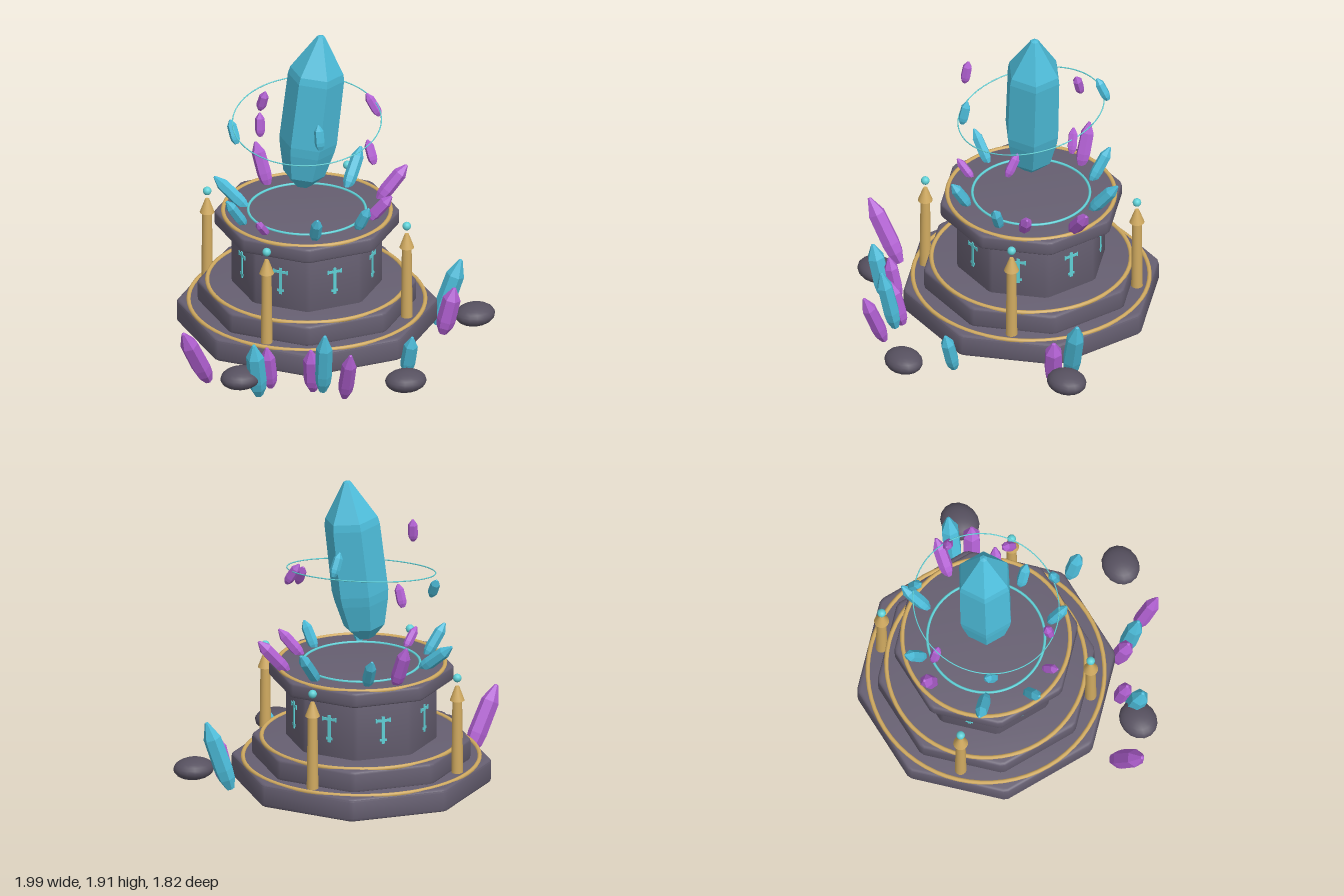
import * as THREE from 'three';
import { toCreasedNormals } from 'three/addons/utils/BufferGeometryUtils.js';

const V = (x, y, z) => new THREE.Vector3(x, y, z);

export function createModel() {
  const model = new THREE.Group();
  model.name = 'crystalShrine';

  const material = (name, color, flatShading = false) => {
    const m = new THREE.MeshStandardMaterial({ color, flatShading });
    m.name = name;
    return m;
  };
  const stone = material('stone', 0x665f71);
  const rockGrey = material('rock', 0x575160);
  const gold = material('gold', 0xd0aa60);
  const glow = material('glowInlay', 0x5fd0d6);
  const cyan = material('cyanCrystal', 0x4cbbd8, true);
  const purple = material('purpleCrystal', 0xb160d2, true);

  const add = (parent, name, geometry, mat, x = 0, y = 0, z = 0) => {
    const mesh = new THREE.Mesh(geometry, mat);
    mesh.name = name;
    mesh.position.set(x, y, z);
    parent.add(mesh);
    return mesh;
  };

  // Altar, centred on its own axis
  const altar = new THREE.Group();
  altar.name = 'altar';
  altar.position.set(-0.015, 0, -0.213);
  model.add(altar);

  // Octagonal slab with clipped corners and soft edges
  function slab(name, apothem, y0, y1, bevel) {
    const shape = new THREE.Shape();
    const a = apothem - bevel;
    const half = a * Math.tan(Math.PI / 8) - 0.012;
    for (let i = 0; i < 8; i++) {
      const t = (i * Math.PI) / 4, c = Math.cos(t), s = Math.sin(t);
      for (const h of [-half, half]) {
        const x = a * c - h * s, y = a * s + h * c;
        if (i === 0 && h < 0) shape.moveTo(x, y);
        else shape.lineTo(x, y);
      }
    }
    shape.closePath();
    const geo = new THREE.ExtrudeGeometry(shape, {
      depth: y1 - y0 - 2 * bevel, bevelThickness: bevel, bevelSize: bevel, bevelSegments: 3,
    });
    geo.rotateX(-Math.PI / 2);
    add(altar, name, toCreasedNormals(geo, 0.6), stone, 0, y0 + bevel, 0);
  }
  slab('baseStep', 0.695, 0.098, 0.238, 0.02);
  slab('upperStep', 0.585, 0.23, 0.362, 0.02);
  slab('column', 0.404, 0.35, 0.73, 0.012);
  slab('capSlab', 0.495, 0.714, 0.806, 0.018);

  // Flat-lying rings
  const ring = (name, r, tube, y, mat) =>
    add(altar, name, new THREE.TorusGeometry(r, tube, 8, 64).rotateX(Math.PI / 2), mat, 0, y, 0);
  ring('baseTrim', 0.68, 0.013, 0.236, gold);
  ring('stepTrim', 0.573, 0.013, 0.36, gold);
  ring('capTrim', 0.482, 0.013, 0.803, gold);
  ring('glowCircle', 0.338, 0.008, 0.808, glow);

  // Tilted orbit ring
  const orbit = ring('orbitRing', 0.428, 0.0035, 1.37, glow);
  orbit.quaternion.setFromUnitVectors(V(0, 1, 0), V(-0.1, 1, 0.17).normalize());

  // Rune on each column face
  for (let i = 0; i < 8; i++) {
    const rune = new THREE.Group();
    rune.name = 'rune';
    rune.rotation.y = (i * Math.PI) / 4;
    for (const [w, h, y] of [[0.018, 0.165, 0.532], [0.09, 0.016, 0.59], [0.042, 0.014, 0.472]])
      add(rune, 'runeBar', new THREE.BoxGeometry(w, h, 0.008), glow, 0, y, 0.405);
    for (const x of [-0.041, 0.041])
      add(rune, 'runeSerif', new THREE.BoxGeometry(0.008, 0.026, 0.008), glow, x, 0.59, 0.405);
    altar.add(rune);
  }

  // Four corner posts with pointed caps and hovering beads
  for (const sx of [-1, 1]) for (const sz of [-1, 1]) {
    const post = new THREE.Group();
    post.name = 'post';
    post.position.set(sx * 0.437, 0, sz * 0.437);
    add(post, 'postShaft', new THREE.CylinderGeometry(0.028, 0.034, 0.45, 16), gold, 0, 0.455, 0);
    add(post, 'postCap', new THREE.CylinderGeometry(0.012, 0.043, 0.085, 16), gold, 0, 0.72, 0);
    add(post, 'postBead', new THREE.SphereGeometry(0.025, 16, 12), glow, 0, 0.812, 0);
    altar.add(post);
  }

  // Six-sided crystal running from point a to point b; profile is [radius, fraction of length]
  const shardProfile = [[0, 0], [0.45, 0.01], [0.88, 0.16], [1, 0.3], [0.95, 0.76], [0.2, 0.99], [0, 1]];
  function crystal(name, mat, a, b, r, profile = shardProfile) {
    const from = V(...a), axis = V(...b).sub(from), length = axis.length();
    const points = profile.map(([pr, t]) => new THREE.Vector2(pr * r, t * length));
    const mesh = add(model, name, new THREE.LatheGeometry(points, 6), mat, ...a);
    mesh.quaternion.setFromUnitVectors(V(0, 1, 0), axis.normalize());
    return mesh;
  }

  crystal('greatCrystal', cyan, [-0.037, 0.965, -0.225], [0.062, 1.915, -0.185], 0.167,
    [[0, 0], [0.3, 0], [0.72, 0.075], [0.95, 0.24], [1, 0.3], [0.98, 0.72], [0.93, 0.765], [0.14, 0.992], [0, 1]]);

  // Crystals fringing the cap
  for (const [mat, a, b, r] of [
    [cyan, [-0.31, 0.79, -0.39], [-0.46, 0.96, -0.53], 0.038],
    [purple, [-0.09, 0.79, -0.61], [-0.13, 1.045, -0.70], 0.042],
    [cyan, [0.07, 0.79, -0.57], [0.078, 0.985, -0.70], 0.035],
    [cyan, [0.31, 0.79, -0.40], [0.445, 0.995, -0.50], 0.038],
    [purple, [0.42, 0.79, -0.195], [0.595, 0.99, -0.18], 0.042],
    [purple, [0.26, 0.79, 0.03], [0.385, 0.95, 0.09], 0.036],
    [cyan, [0.155, 0.79, 0.12], [0.20, 0.95, 0.19], 0.033],
    [cyan, [-0.12, 0.79, 0.145], [-0.145, 0.965, 0.25], 0.034],
    [purple, [-0.34, 0.79, -0.03], [-0.425, 0.90, 0.02], 0.027],
    [cyan, [-0.41, 0.79, -0.19], [-0.535, 0.975, -0.17], 0.034],
  ]) crystal('capCrystal', mat, a, b, r);

  // Crystals growing from the ground
  for (const [mat, a, b, r] of [
    [purple, [-0.79, 0.03, 0.165], [-0.985, 0.405, 0.25], 0.056],
    [cyan, [-0.58, 0.005, 0.41], [-0.635, 0.36, 0.465], 0.055],
    [purple, [-0.495, 0.03, 0.385], [-0.535, 0.305, 0.42], 0.045],
    [purple, [-0.28, 0.02, 0.50], [-0.32, 0.31, 0.56], 0.05],
    [cyan, [-0.25, 0.04, 0.57], [-0.272, 0.435, 0.655], 0.05],
    [purple, [-0.17, 0.045, 0.70], [-0.187, 0.375, 0.835], 0.045],
    [cyan, [0.288, 0.04, 0.53], [0.297, 0.295, 0.60], 0.043],
    [cyan, [0.70, 0.035, 0.01], [0.835, 0.445, 0.05], 0.056],
    [purple, [0.69, 0.03, 0.12], [0.75, 0.325, 0.155], 0.055],
  ]) crystal('groundCrystal', mat, a, b, r);

  // Shards floating round the great crystal: centre, then lean of the top
  for (const [mat, [x, y, z], [dx, dy, dz]] of [
    [purple, [-0.39, 1.505, -0.02], [0.004, 0.07, -0.012]],
    [cyan, [-0.39, 1.285, -0.41], [-0.004, 0.062, -0.04]],
    [cyan, [-0.108, 1.46, 0.187], [0.002, 0.072, -0.018]],
    [cyan, [0.24, 1.54, -0.535], [-0.028, 0.066, 0.02]],
    [purple, [0.40, 1.395, -0.217], [-0.03, 0.065, -0.028]],
    [purple, [0.25, 1.262, 0.10], [-0.004, 0.062, -0.042]],
    [purple, [-0.12, 1.34, -0.616], [0.008, 0.066, 0.022]],
  ]) crystal('floatingShard', mat, [x - dx, y - dy, z - dz], [x + dx, y + dy, z + dz], 0.029);

  // Flattened boulders
  for (const [x, z, rx, rz, turn] of [
    [-0.688, 0.40, 0.122, 0.104, 0.1], [0.17, 0.803, 0.122, 0.105, 0.0], [0.877, 0.153, 0.122, 0.105, 0.2],
  ]) {
    const rock = add(model, 'boulder', new THREE.SphereGeometry(1, 16, 12), rockGrey, x, 0.134, z);
    rock.scale.set(rx, 0.062, rz);
    rock.rotation.y = turn;
  }

  return model;
}
